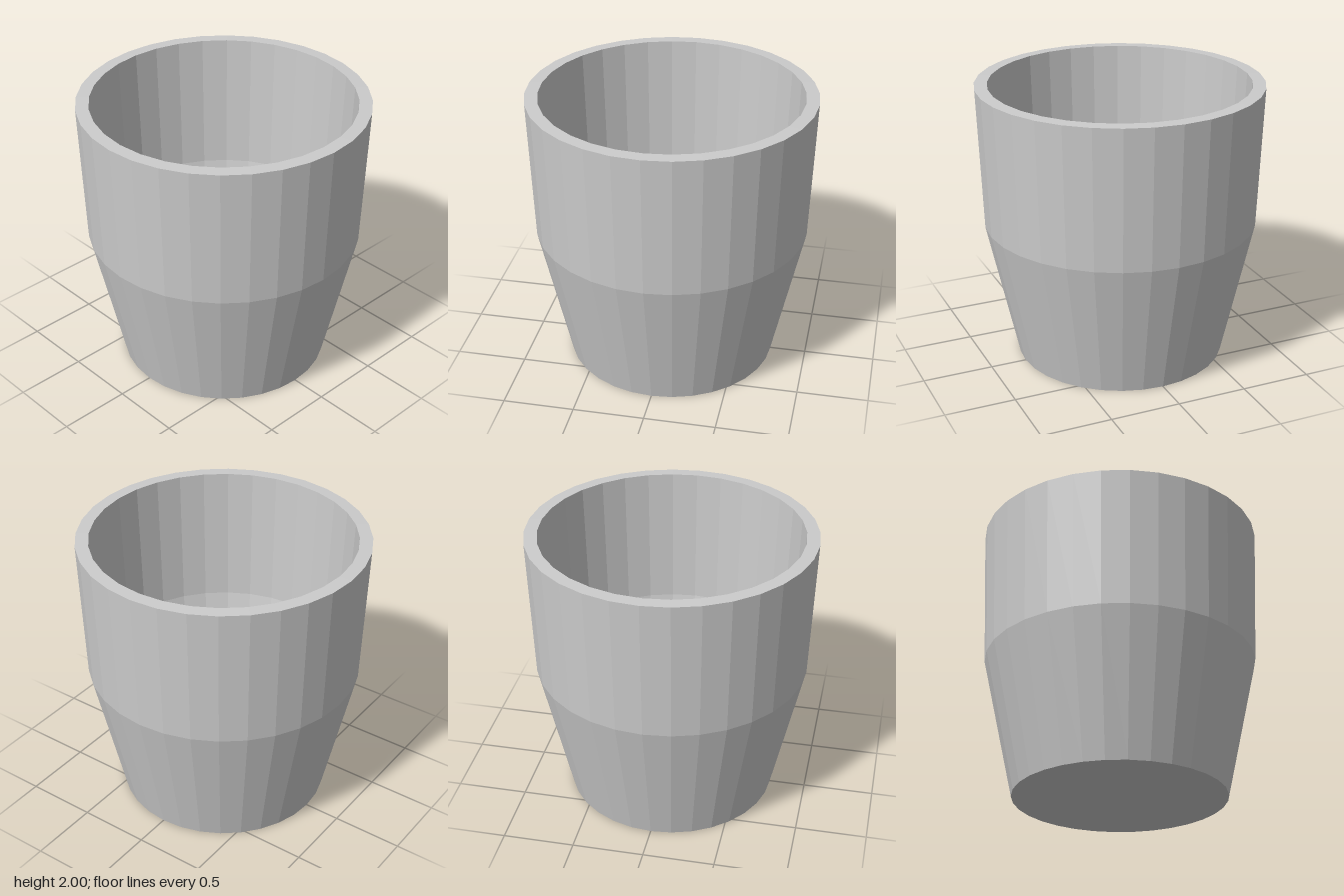
import * as THREE from 'three';

const SIDES = 32;

export function createModel() {
  const group = new THREE.Group();
  group.name = 'cup';
  const material = new THREE.MeshStandardMaterial({ color: 0xcccccc, flatShading: true });

  // A closed profile [radius, height] is revolved: one surface per part
  const revolve = (name, profile) => {
    const points = profile.map(([r, y]) => new THREE.Vector2(r, y));
    const mesh = new THREE.Mesh(new THREE.LatheGeometry(points, SIDES), material);
    mesh.name = name;
    group.add(mesh);
  };

  // Underside and outer wall, with a shoulder at half height
  revolve('outerWall', [[0, 0], [0.743, 0], [0.963, 1], [1, 1.997]]);
  // Rim, tilted very slightly up towards the inside
  revolve('rim', [[1, 1.997], [0.91, 2]]);
  // Inner wall and floor, following the outer wall
  revolve('innerWall', [[0.91, 2], [0.874, 1.01], [0.686, 0.07], [0, 0.07]]);

  return group;
}
